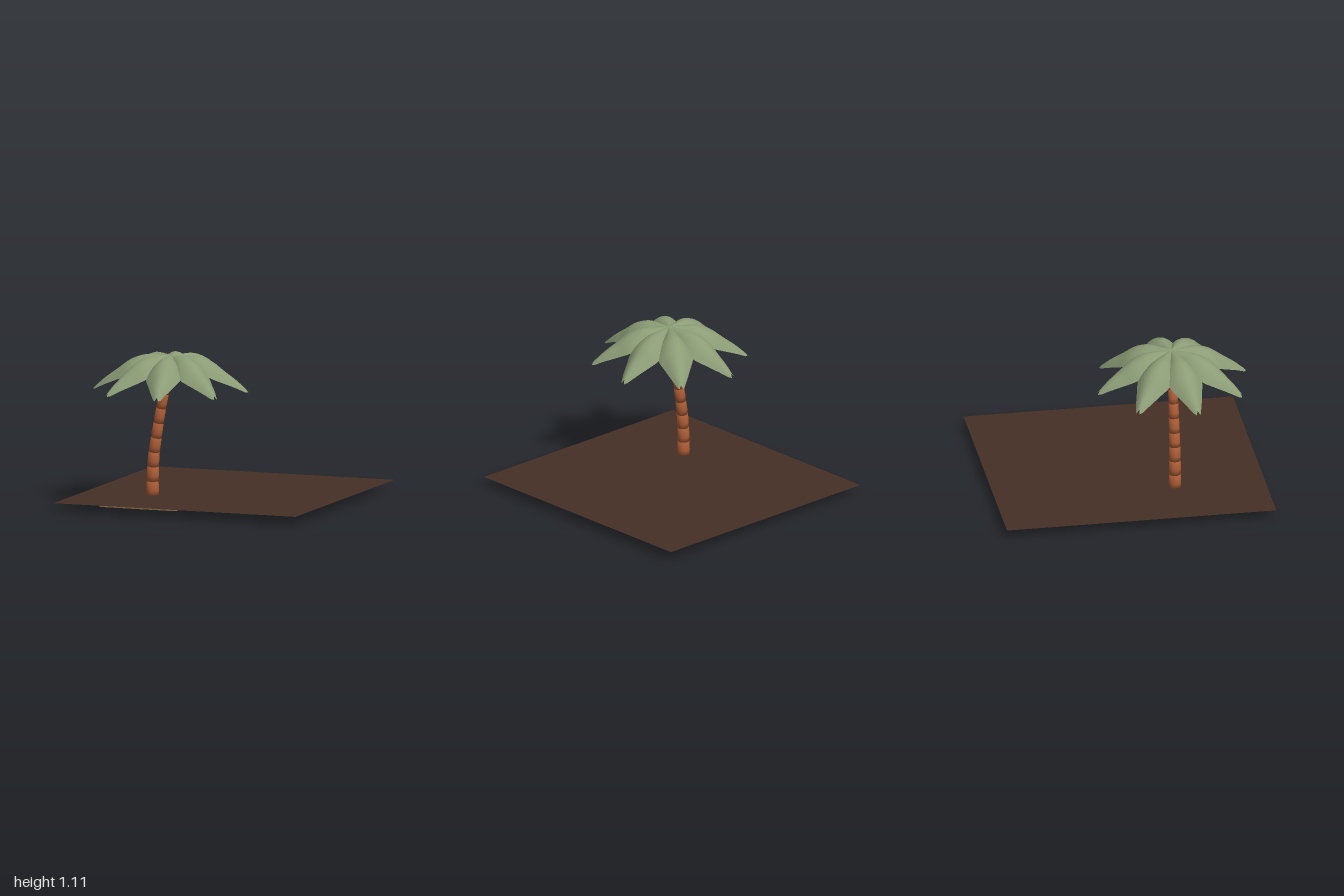
import * as THREE from 'three';
import { RoundedBoxGeometry } from 'three/addons/geometries/RoundedBoxGeometry.js';

const material = (name, color, side = THREE.FrontSide) => {
  const m = new THREE.MeshStandardMaterial({ color, side });
  m.name = name;
  return m;
};

const V = (x, y, z) => new THREE.Vector3(x, y, z);

// One arched frond pointing along +z, with a forked tip
function frondGeometry() {
  // points hold (half width, ridge height, distance from the crown)
  const spine = new THREE.CatmullRomCurve3([
    V(0.015, 1.108, 0), V(0.06, 1.11, 0.1), V(0.112, 1.107, 0.2), V(0.128, 1.07, 0.3),
    V(0.094, 1.0, 0.395), V(0.057, 0.93, 0.49), V(0.026, 0.87, 0.558),
  ]);
  const geo = new THREE.PlaneGeometry(1, 1, 8, 20);
  geo.rotateX(-Math.PI / 2);
  const pos = geo.attributes.position;
  for (let i = 0; i < pos.count; i++) {
    const u = pos.getX(i) * 2;
    const t = THREE.MathUtils.clamp(pos.getZ(i) + 0.5, 0, 1);
    const p = spine.getPoint(t);
    // prongs at the tip on either side of the ridge
    const prong = t > 0.99 ? 0.02 * (1 - Math.abs(Math.abs(u) - 0.5) * 2) : 0;
    pos.setXYZ(i, u * p.x, p.y - 0.8 * p.x * u * u - prong, p.z + prong);
  }
  geo.computeVertexNormals();
  return geo;
}

export function createModel() {
  const group = new THREE.Group();
  const bark = material('bark', 0xa85a34);
  const leaf = material('leaf', 0x8c9c76, THREE.DoubleSide);
  const soil = material('soil', 0x452f25, THREE.DoubleSide);
  const sand = material('sand', 0xdac7a0);
  const darkSand = material('dark sand', 0xc99c66);
  const husk = material('husk', 0x4a3024);

  const add = (name, geo, mat, x = 0, y = 0, z = 0) => {
    const mesh = new THREE.Mesh(geo, mat);
    mesh.name = name;
    mesh.position.set(x, y, z);
    group.add(mesh);
    return mesh;
  };

  // Flat ground sheet and the two-layer slab under the tree
  add('ground', new THREE.PlaneGeometry(1.9, 2).rotateX(-Math.PI / 2), soil, 0, 0.067, 0);
  add('lowerSlab', new RoundedBoxGeometry(0.615, 0.035, 0.615, 3, 0.015), darkSand, -0.43, 0.0175, 0.337);
  add('upperSlab', new RoundedBoxGeometry(0.6, 0.032, 0.6, 3, 0.014), sand, -0.43, 0.05, 0.337);

  // Leaning trunk of stacked, softly rounded rings
  const path = new THREE.CatmullRomCurve3([
    V(-0.43, 0.06, 0.335), V(-0.43, 0.167, 0.335), V(-0.427, 0.275, 0.335), V(-0.418, 0.383, 0.335),
    V(-0.402, 0.49, 0.335), V(-0.384, 0.6, 0.335), V(-0.364, 0.71, 0.335), V(-0.34, 0.818, 0.335),
    V(-0.315, 0.925, 0.335), V(-0.292, 1.02, 0.335), V(-0.285, 1.085, 0.335),
  ]);
  const rings = 10;
  for (let i = 0; i < rings; i++) {
    const a = path.getPoint(i / rings);
    const b = path.getPoint((i + 1) / rings);
    const r = 0.046 - 0.0016 * i;
    const len = a.distanceTo(b);
    const profile = [[0, 0], [0.95, 0], [1, 0.35], [0.97, 1], [0, 1]]
      .map(([x, y]) => new THREE.Vector2(x * r, y * len));
    const ring = add('trunkRing', new THREE.LatheGeometry(profile, 24), bark, a.x, a.y, a.z);
    ring.quaternion.setFromUnitVectors(V(0, 1, 0), b.clone().sub(a).normalize());
  }

  // Crown of eight fronds
  const frond = frondGeometry();
  for (let i = 0; i < 8; i++) {
    const f = add('frond', frond, leaf, -0.287, 0, 0.333);
    f.rotation.y = THREE.MathUtils.degToRad(10.5 + i * 45);
  }

  // Nut hanging beneath the crown
  add('nut', new THREE.SphereGeometry(0.033, 20, 14), husk, -0.348, 0.992, 0.4);

  return group;
}
